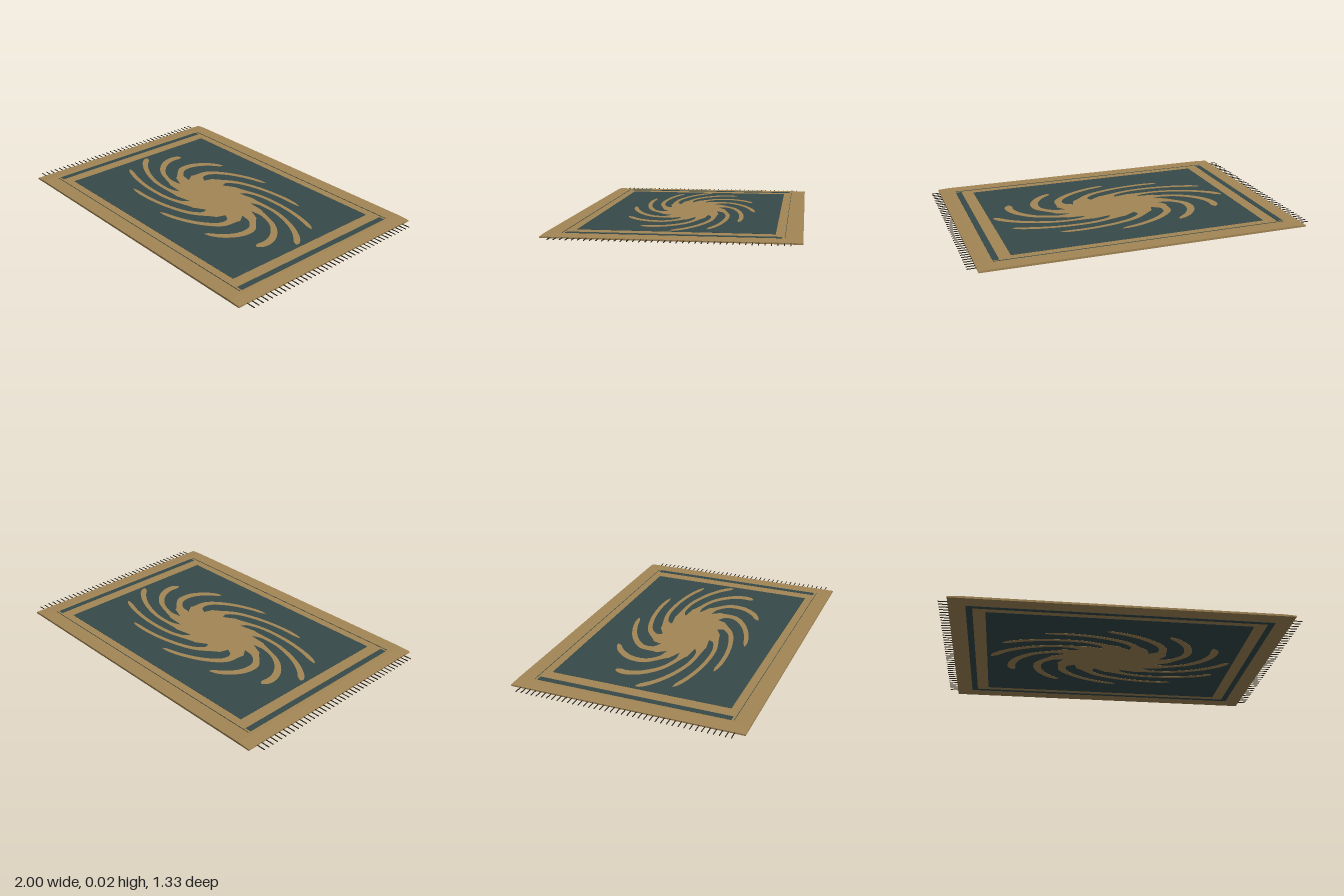
import * as THREE from 'three';

const tan = new THREE.MeshStandardMaterial({ color: 0xa28655 });
tan.name = 'tan wool';
const teal = new THREE.MeshStandardMaterial({ color: 0x364949 });
teal.name = 'dark teal wool';
const dark = new THREE.MeshStandardMaterial({ color: 0x2a2620 });
dark.name = 'dark fringe';

function add(group, name, geometry, material, x = 0, y = 0, z = 0) {
  const mesh = new THREE.Mesh(geometry, material);
  mesh.name = name;
  mesh.position.set(x, y, z);
  group.add(mesh);
  return mesh;
}

// Box spanning heights y0 to y1
function slab(group, name, material, w, d, y0, y1, x = 0, z = 0) {
  return add(group, name, new THREE.BoxGeometry(w, y1 - y0, d), material, x, (y0 + y1) / 2, z);
}

// Swirling sun outline: twelve curved arms around a disc, squashed to an ellipse
function sunShape() {
  const arms = 12, steps = 20, outline = [];
  // Centre line of an arm: radius and lag angle (degrees) from root to tip
  const line = new THREE.CatmullRomCurve3([
    [0.45, 61], [0.53, 54], [0.66, 41], [0.8, 24], [0.92, 10], [1.0, 0],
  ].map(([r, a]) => {
    const t = THREE.MathUtils.degToRad(a);
    return new THREE.Vector3(r * Math.cos(t), r * Math.sin(t), 0);
  }));
  const right = [], left = [];
  for (let i = 0; i <= steps; i++) {
    const t = i / steps, p = line.getPoint(t), d = line.getTangent(t);
    const root = Math.max(0, 1 - t / 0.3);
    let w = 0.033 + 0.045 * root * root;
    if (t > 0.88) w *= Math.sqrt(Math.max(0.04, 1 - ((t - 0.88) / 0.12) ** 2));
    right.push(new THREE.Vector2(p.x + d.y * w, p.y - d.x * w));
    left.push(new THREE.Vector2(p.x - d.y * w, p.y + d.x * w));
  }
  const arm = [...right, ...left.reverse()];
  const origin = new THREE.Vector2();
  for (let k = 0; k < arms; k++) {
    const turn = THREE.MathUtils.degToRad(-5 + k * 360 / arms);
    for (const p of arm) {
      const q = p.clone().rotateAround(origin, turn);
      outline.push(new THREE.Vector2(q.x * 0.725, q.y * 0.372));
    }
  }
  return new THREE.Shape(outline);
}

export function createModel() {
  const rug = new THREE.Group();
  rug.name = 'rug';

  // Border body with ends that thin out towards the fringe
  const section = new THREE.Shape([
    [-0.95, 0.002], [0.95, 0.002], [0.95, 0.010], [0.88, 0.014], [-0.88, 0.014], [-0.95, 0.010],
  ].map(([x, y]) => new THREE.Vector2(x, y)));
  const body = new THREE.ExtrudeGeometry(section, { depth: 1.334, bevelEnabled: false });
  body.translate(0, 0, -0.667);
  add(rug, 'border', body, tan);

  // Inlaid field, woven through to the underside
  slab(rug, 'field', teal, 1.5, 1.05, 0.001, 0.015);

  // Sun medallion, showing on both sides
  const sun = new THREE.ExtrudeGeometry(sunShape(), { depth: 0.016, bevelEnabled: false });
  sun.rotateX(-Math.PI / 2);
  add(rug, 'sunMedallion', sun, tan);

  for (const s of [-1, 1]) {
    // Stripes across the ends and fine lines along the sides
    slab(rug, 'endStripe', teal, 0.036, 1.12, 0.001, 0.015, s * 0.838);
    slab(rug, 'sideLine', teal, 1.71, 0.002, 0.012, 0.0165, 0, s * 0.575);
    slab(rug, 'undersideStripe', teal, 1.712, 0.025, 0.001, 0.004, 0, s * 0.572);

    // Fringe
    const fringe = new THREE.Group();
    fringe.name = s > 0 ? 'leftFringe' : 'rightFringe';
    const count = 40;
    for (let i = 0; i < count; i++) {
      const z = -0.607 + i * 1.217 / (count - 1);
      slab(fringe, 'tassel', dark, 0.06, 0.004, 0.004, 0.008, s * 0.97, z);
    }
    rug.add(fringe);
  }
  return rug;
}
